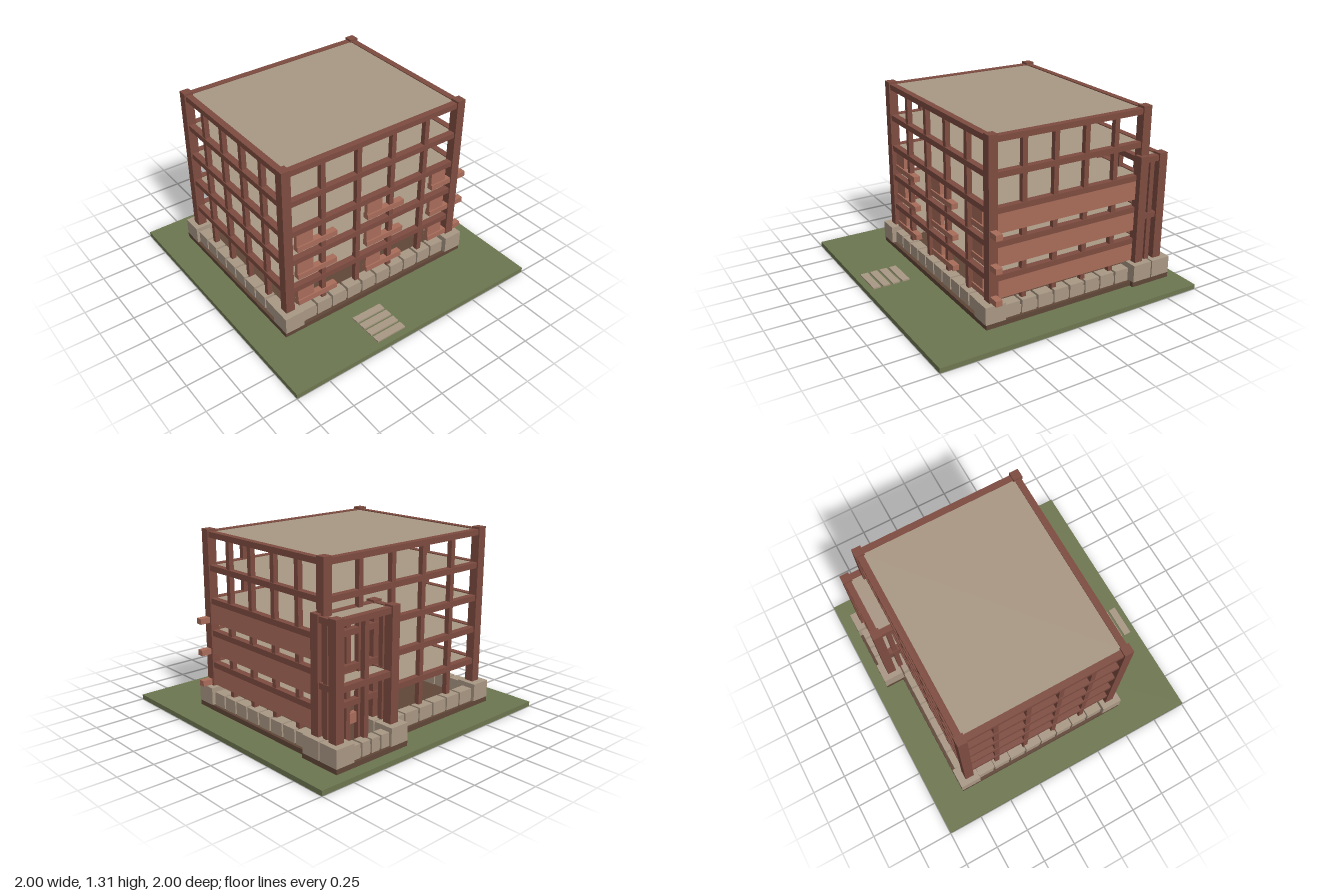
import * as THREE from 'three';

const mat = (name, color) => {
  const m = new THREE.MeshStandardMaterial({ color });
  m.name = name;
  return m;
};

export function createModel() {
  const grass = mat('grass', 0x6d7650);
  const stone = mat('stone', 0xa99784);
  const timber = mat('timber', 0x7e4c40);
  const panel = mat('panel', 0xa96c5a);
  const earth = mat('earth', 0x604738);

  const model = new THREE.Group();
  const group = (name) => {
    const g = new THREE.Group();
    g.name = name;
    model.add(g);
    return g;
  };
  // Box from its limits on each axis
  const box = (parent, name, m, x0, x1, y0, y1, z0, z1) => {
    const mesh = new THREE.Mesh(new THREE.BoxGeometry(x1 - x0, y1 - y0, z1 - z0), m);
    mesh.position.set((x0 + x1) / 2, (y0 + y1) / 2, (z0 + z1) / 2);
    mesh.name = name;
    parent.add(mesh);
  };
  const post = (parent, name, x, z, w, y0, y1) =>
    box(parent, name, timber, x - w / 2, x + w / 2, y0, y1, z - w / 2, z + w / 2);

  // Lawn, plinths and path
  const base = group('base');
  box(base, 'lawn', grass, -1, 1, 0, 0.035, -1, 1);
  box(base, 'mainPlinth', earth, -0.78, 0.78, 0.035, 0.07, -0.78, 0.555);
  box(base, 'annexPlinth', earth, 0.2, 0.81, 0.035, 0.071, -0.915, -0.6);
  for (let i = 0; i < 4; i++) {
    const z = 0.68 + i * 0.073;
    box(base, 'pathSlab', stone, -0.32, -0.085, 0.035, 0.046, z, z + 0.055);
  }

  // Row of foundation stones over a low core; axis is the running direction
  const foundation = group('foundation');
  const stoneRow = (axis, from, to, n, c0, c1, inset) => {
    const put = (name, a, b, top, k0, k1) => axis === 'x'
      ? box(foundation, name, stone, a, b, 0.07, top, k0, k1)
      : box(foundation, name, stone, k0, k1, 0.07, top, a, b);
    put('foundationCore', from, to, 0.125, c0 + inset, c1 - inset);
    const pitch = (to - from) / n;
    for (let i = 0; i < n; i++) {
      put('foundationStone', from + i * pitch + 0.008, from + (i + 1) * pitch - 0.008, 0.165, c0, c1);
    }
  };
  stoneRow('x', -0.635, 0.635, 10, 0.45, 0.53, 0.012);
  stoneRow('x', -0.635, 0.2, 6, -0.76, -0.68, 0.012);
  stoneRow('z', -0.635, 0.41, 8, -0.76, -0.68, 0.012);
  stoneRow('z', -0.6, 0.41, 8, 0.68, 0.76, 0.012);
  stoneRow('x', 0.34, 0.67, 4, -0.895, -0.82, 0.012);
  const corners = [[-0.78, 0.41], [0.635, 0.41], [-0.78, -0.78], [0.2, -0.915], [0.665, -0.915],
    [0.665, -0.755], [0.2, -0.755]];
  for (const [x, z] of corners) {
    box(foundation, 'cornerStone', stone, x, x + 0.145, 0.07, 0.195, z, z + 0.15);
  }

  // Timber frame: corner posts, studs, rails on four sides and a floor per level
  const frame = (name, f) => {
    const g = group(name);
    for (const x of [f.x0, f.x1]) {
      for (const z of [f.z0, f.z1]) post(g, 'cornerPost', x, z, 0.066, 0.07, f.top);
    }
    const studs = (a, b, n, place) => {
      for (let i = 1; i <= n; i++) place(a + (b - a) * i / (n + 1));
    };
    studs(f.x0, f.x1, f.nx, (x) => {
      for (const z of [f.z0, f.z1]) post(g, 'stud', x, z, 0.036, 0.07, f.stud);
    });
    studs(f.z0, f.z1, f.nz, (z) => {
      for (const x of [f.x0, f.x1]) post(g, 'stud', x, z, 0.036, 0.07, f.stud);
    });
    for (const y of f.levels) {
      const h = 0.02, w = 0.023;
      for (const z of [f.z0, f.z1]) box(g, 'rail', timber, f.x0, f.x1, y - h, y + h, z - w, z + w);
      for (const x of [f.x0, f.x1]) box(g, 'rail', timber, x - w, x + w, y - h, y + h, f.z0, f.z1);
      box(g, 'floor', stone, f.x0, f.x1, y - 0.012, y + 0.014, f.z0, f.z1);
    }
  };
  const levels = [0.35, 0.583, 0.812, 1.045, 1.275];
  frame('mainFrame', {
    x0: -0.708, x1: 0.708, z0: -0.695, z1: 0.478, nx: 4, nz: 4, top: 1.31, stud: 1.26, levels,
  });
  frame('annexFrame', {
    x0: 0.273, x1: 0.738, z0: -0.833, z1: -0.673, nx: 1, nz: 1, top: 0.97, stud: 0.92,
    levels: [0.528, 0.938],
  });

  // Infill panels with projecting sills on the three lower storeys
  const infill = group('infillPanels');
  for (const [y0, y1] of [[0.205, 0.335], [0.43, 0.57], [0.658, 0.797]]) {
    box(infill, 'sidePanel', panel, 0.688, 0.73, y0, y1, -0.64, 0.445);
    for (const x of [-0.635, -0.067, 0.503]) {
      box(infill, 'frontPanel', panel, x, x + 0.128, y0, y1, 0.465, 0.495);
      box(infill, 'sill', panel, x, x + 0.313, y0 - 0.002, y0 + 0.038, 0.458, 0.505);
    }
  }

  // Annex door panel
  box(infill, 'annexPanel', panel, 0.337, 0.405, 0.2, 0.51, -0.695, -0.67);
  box(infill, 'annexSill', panel, 0.337, 0.5, 0.2, 0.27, -0.7, -0.665);

  return model;
}
